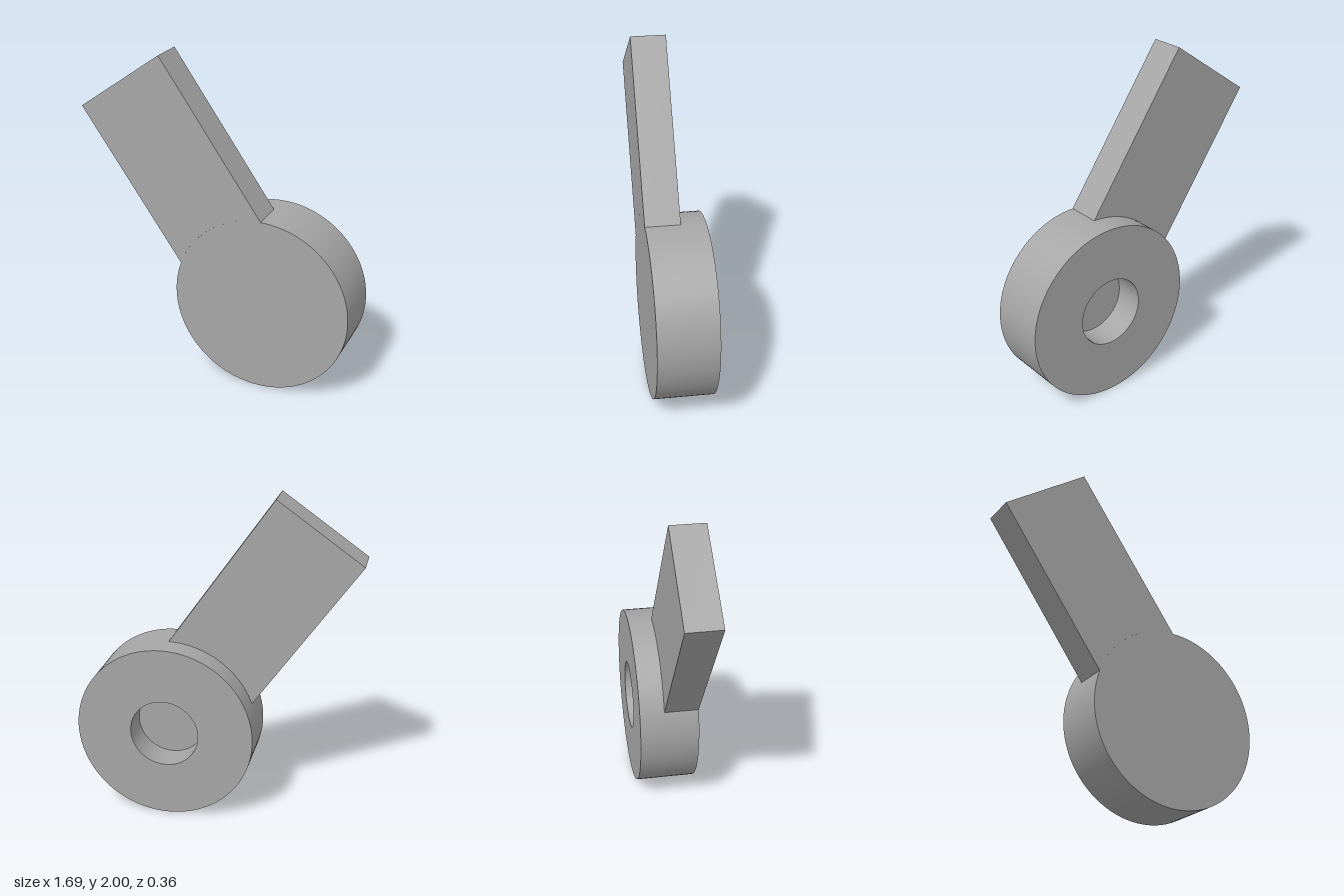
import * as THREE from 'three';
import { toCreasedNormals } from 'three/addons/utils/BufferGeometryUtils.js';

const CX = 0.3, CY = 0.546, R = 0.546;   // disc centre and radius
const BACK = -0.178, FRONT = 0.178;      // disc thickness
const ARM_BACK = -0.03;                  // arm is flush with the disc front
const HOLE_R = 0.211, HOLE_FLOOR = 0.005;

export function createModel() {
  const group = new THREE.Group();
  const grey = new THREE.MeshStandardMaterial({ color: 0xa6a6a6 });
  grey.name = 'plain grey';

  // Disc with a blind hole in its back, turned so its axis runs along z
  const profile = [
    [0, HOLE_FLOOR], [HOLE_R, HOLE_FLOOR], [HOLE_R, BACK],
    [R, BACK], [R, FRONT], [0, FRONT],
  ].map(([r, z]) => new THREE.Vector2(r, z));
  const discGeometry = new THREE.LatheGeometry(profile, 96).rotateX(Math.PI / 2);
  const disc = new THREE.Mesh(toCreasedNormals(discGeometry, Math.PI / 6), grey);
  disc.name = 'disc';
  disc.position.set(CX, CY, 0);
  group.add(disc);

  // Slanted flat arm whose lower end follows the disc rim
  const outline = new THREE.Shape();
  outline.absarc(CX, CY, R, THREE.MathUtils.degToRad(159.9), Math.PI / 2, true);
  outline.lineTo(-0.333, 2);
  outline.lineTo(-0.846, 1.641);
  outline.closePath();
  const armGeometry = new THREE.ExtrudeGeometry(outline, {
    depth: FRONT - ARM_BACK, bevelEnabled: false, curveSegments: 24,
  });
  const arm = new THREE.Mesh(armGeometry, grey);
  arm.name = 'arm';
  arm.position.z = ARM_BACK;
  group.add(arm);

  return group;
}
